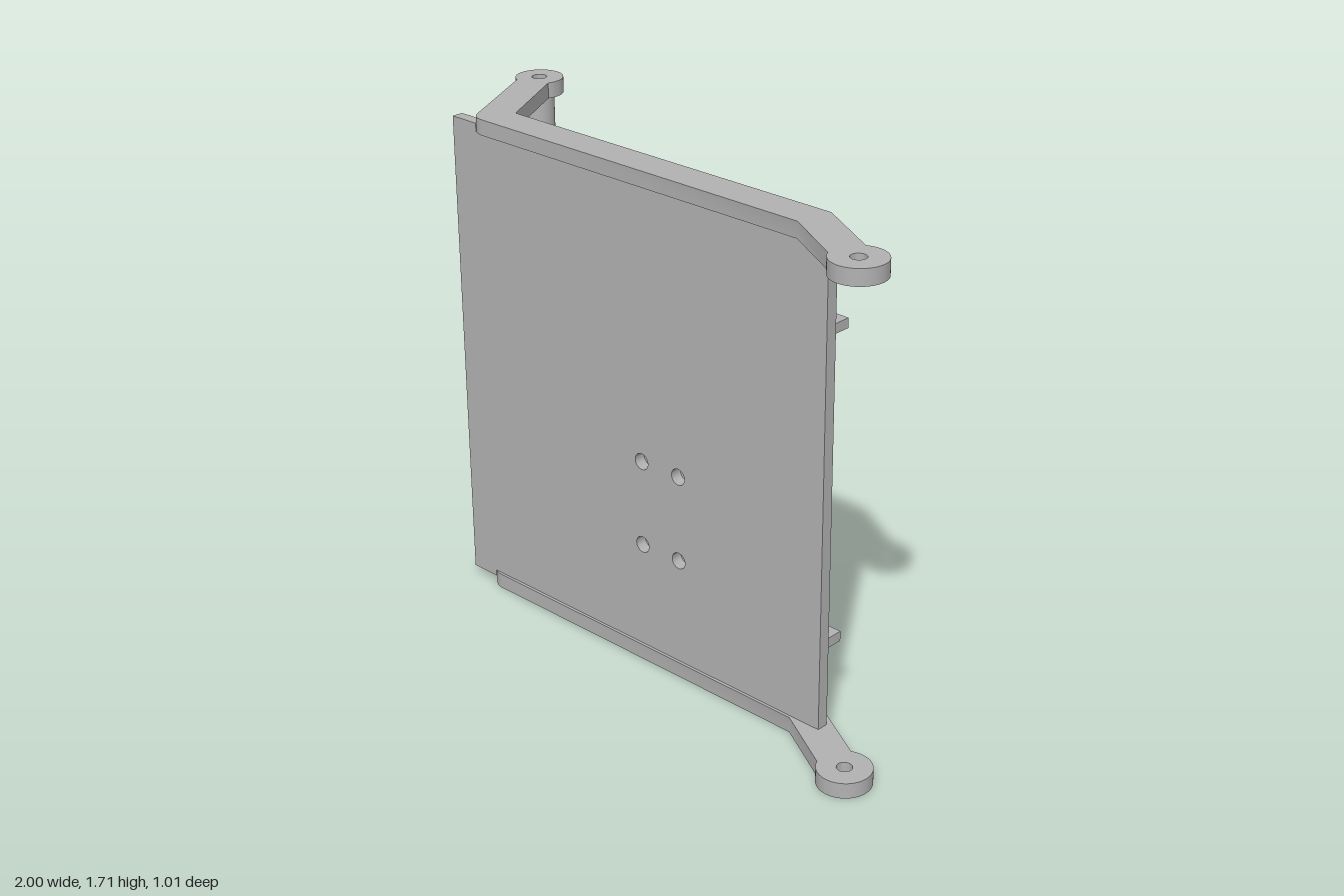
import * as THREE from 'three';
import { toCreasedNormals } from 'three/addons/utils/BufferGeometryUtils.js';

const grey = new THREE.MeshStandardMaterial({ color: 0xb2b2b2 });
grey.name = 'plainGrey';
const rad = THREE.MathUtils.degToRad;

export function createModel() {
  const model = new THREE.Group();
  model.name = 'hingedPanelFrame';

  const add = (name, geometry, parent = model) => {
    const mesh = new THREE.Mesh(geometry, grey);
    mesh.name = name;
    parent.add(mesh);
    return mesh;
  };
  // Box given by its limits on each axis
  const bar = (name, x0, x1, y0, y1, z0, z1) =>
    add(name, new THREE.BoxGeometry(x1 - x0, y1 - y0, z1 - z0))
      .position.set((x0 + x1) / 2, (y0 + y1) / 2, (z0 + z1) / 2);
  const polygon = (pts) => new THREE.Shape(pts.map(([x, y]) => new THREE.Vector2(x, y)));
  const hole = (shape, x, y, r) => shape.holes.push(new THREE.Path().absarc(x, y, r, 0, Math.PI * 2, true));
  const slab = (shape, depth) => toCreasedNormals(
    new THREE.ExtrudeGeometry(shape, { depth, bevelEnabled: false, curveSegments: 24 }), 0.6);

  // Cranked arms, top and bottom, with a round eye at each end
  const arm = new THREE.Shape();
  arm.absarc(-0.92, 0.14, 0.08, rad(-22), rad(-112), false);
  arm.lineTo(-0.775, -0.27);
  arm.quadraticCurveTo(-0.757, -0.30, -0.72, -0.30);
  arm.lineTo(0.61, -0.30);
  arm.absarc(0.91, -0.39, 0.088, rad(202), rad(477), false);
  arm.lineTo(0.635, -0.18);
  arm.lineTo(-0.69, -0.18);
  arm.closePath();
  hole(arm, -0.92, 0.14, 0.025);
  hole(arm, 0.91, -0.39, 0.025);
  const armGeometry = slab(arm, 0.053).rotateX(-Math.PI / 2);
  add('lowerArm', armGeometry);
  add('upperArm', armGeometry).position.y = 1.657;

  // Hinge pole
  const pole = add('hingePole', new THREE.CylinderGeometry(0.052, 0.052, 1.606, 40));
  pole.position.set(-0.92, 0.855, -0.135);

  // Front panel, taller where it passes beyond the arms
  const panel = polygon([
    [-0.87, 0.03], [-0.76, 0.03], [-0.76, 0.053], [0.72, 0.053],
    [0.72, 1.658], [-0.76, 1.658], [-0.76, 1.687], [-0.87, 1.687]
  ]);
  for (const x of [-0.035, 0.125]) for (const y of [0.425, 0.725]) hole(panel, x, y, 0.028);
  add('frontPanel', slab(panel, 0.04)).position.z = 0.25;

  // Upright stiffeners
  bar('rightUpright', -0.66, -0.615, 0.05, 1.66, 0.125, 0.25);
  bar('leftUpright', 0.205, 0.245, 0.05, 1.66, 0.125, 0.25);
  bar('deepUpright', -0.085, -0.045, 0.93, 1.662, 0.09, 0.25);
  bar('shallowUpright', -0.105, -0.07, 0.05, 0.93, 0.175, 0.25);
  bar('shortUpright', 0.135, 0.175, 1.355, 1.66, 0.175, 0.25);

  // Cross rails
  for (const [y0, y1] of [[0.25, 0.285], [1.322, 1.355]]) bar('deepRail', -0.73, 0.635, y0, y1, 0.09, 0.25);
  for (const [y0, y1] of [[0.222, 0.25], [1.455, 1.49]]) bar('shallowRail', -0.69, 0.6, y0, y1, 0.175, 0.25);

  // Mounting plate with four bolt holes and two slots, centred on its origin
  const plate = polygon([[-0.2, -0.115], [0.2, -0.115], [0.2, 0.115], [-0.2, 0.115]]);
  for (const x of [-0.15, 0.15]) for (const y of [-0.08, 0.08]) hole(plate, x, y, 0.017);
  for (const x of [-0.08, 0.08]) {
    plate.holes.push(polygon([[x - 0.018, -0.05], [x - 0.018, 0.05], [x + 0.018, 0.05], [x + 0.018, -0.05]]));
  }
  const plateGeometry = slab(plate, 0.03);
  const fixed = add('panelPlate', plateGeometry);
  fixed.rotation.z = Math.PI / 2;
  fixed.position.set(0.045, 0.575, 0.22);

  // Loose bracket: the same plate with two rounded lugs through the slots
  const bracket = new THREE.Group();
  bracket.name = 'looseBracket';
  bracket.position.set(-0.8, 0.115, -0.46);
  model.add(bracket);
  add('bracketPlate', plateGeometry, bracket);
  const lug = new THREE.Shape();
  lug.absarc(-0.105, 0, 0.05, Math.PI / 2, Math.PI * 1.5, false);
  lug.absarc(0.025, 0, 0.05, -Math.PI / 2, Math.PI / 2, false);
  lug.closePath();
  hole(lug, -0.108, 0, 0.03);
  const lugGeometry = slab(lug, 0.036).rotateY(Math.PI / 2);
  for (const x of [-0.08, 0.08]) add('lug', lugGeometry, bracket).position.x = x - 0.018;

  return model;
}
